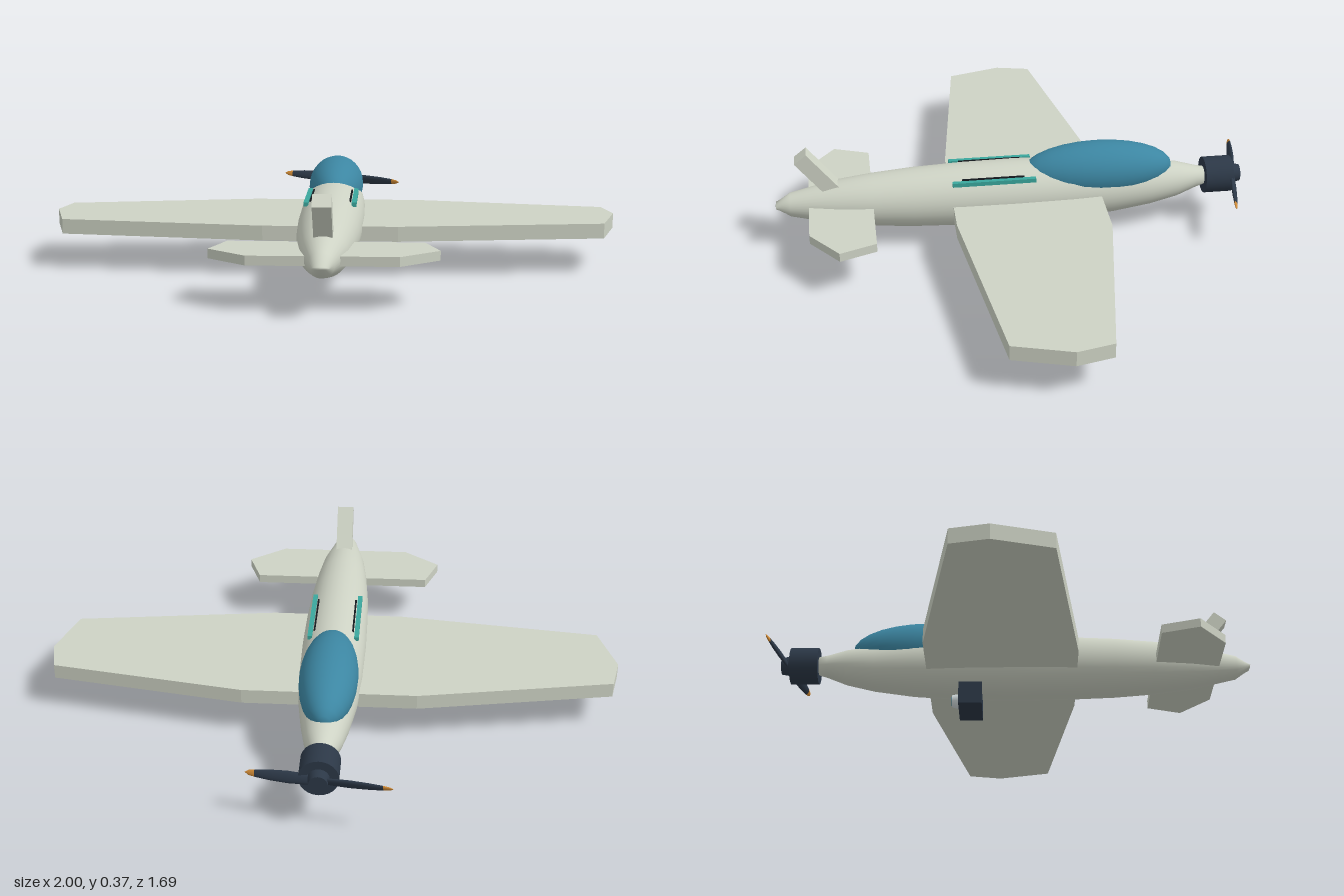
import * as THREE from 'three';

const paint = (name, color) => {
  const m = new THREE.MeshStandardMaterial({ color });
  m.name = name;
  return m;
};
const V = (pts) => pts.map(([x, y]) => new THREE.Vector2(x, y));

export function createModel() {
  const model = new THREE.Group();
  model.name = 'propellerPlane';
  const body = paint('paleGreyGreen', 0xcdd2c4);
  const dark = paint('darkSlate', 0x2c3847);
  const glass = paint('canopyBlue', 0x3c86a2);
  const teal = paint('teal', 0x3aa79d);
  const orange = paint('orange', 0xd08a35);
  const black = paint('black', 0x15191e);
  const pale = paint('lensRing', 0xd5dee0);

  const add = (name, geo, mat, x = 0, y = 0, z = 0, parent = model) => {
    const mesh = new THREE.Mesh(geo, mat);
    mesh.name = name;
    mesh.position.set(x, y, z);
    parent.add(mesh);
    return mesh;
  };

  // Fuselage: turned along z, nose at -z, tail tip pinched to a flat edge
  const hull = new THREE.LatheGeometry(V([
    [0, -0.7], [0.03, -0.7], [0.04, -0.66], [0.063, -0.59], [0.081, -0.49], [0.1, -0.35],
    [0.11, -0.2], [0.114, 0], [0.112, 0.18], [0.105, 0.36], [0.094, 0.5], [0.078, 0.63],
    [0.042, 0.79], [0.027, 0.84], [0, 0.842],
  ]), 32);
  hull.rotateX(Math.PI / 2);
  const p = hull.attributes.position;
  for (let i = 0; i < p.count; i++) {
    const z = p.getZ(i);
    if (z > 0.83) p.setY(i, p.getY(i) * 0.15);
    if (z < -0.5) p.setY(i, p.getY(i) + (-0.5 - z) * 0.06);
  }
  add('fuselage', hull, body, 0, 0.166, 0);

  // Canopy
  const canopy = new THREE.SphereGeometry(1, 32, 14);
  canopy.rotateX(Math.PI / 2);
  canopy.scale(0.1, 0.1, 0.27);
  add('canopy', canopy, glass, 0, 0.235, -0.3);

  // Wing and tailplane: mirrored outlines given as x, z pairs
  const slab = (name, half, top, thick) => {
    const outline = [...half, ...half.map(([x, z]) => [-x, z]).reverse()];
    const geo = new THREE.ExtrudeGeometry(new THREE.Shape(V(outline)), { depth: thick, bevelEnabled: false });
    geo.rotateX(Math.PI / 2);
    add(name, geo, body, 0, top, 0);
  };
  slab('wing', [[0.3, -0.302], [0.972, -0.185], [1, -0.06], [0.943, 0.136], [0.232, 0.225]], 0.175, 0.052);
  slab('tailplane', [[0.32, 0.502], [0.367, 0.628], [0.24, 0.726]], 0.179, 0.031);

  // Swept tail fin
  const fin = add('tailFin', new THREE.BoxGeometry(0.06, 0.2, 0.054), body, 0, 0.278, 0.682);
  fin.rotation.x = 0.67;

  // Propeller hub and nose boss
  const disc = (r1, r2, len) => new THREE.CylinderGeometry(r1, r2, len, 24).rotateX(Math.PI / 2);
  add('propellerHub', disc(0.065, 0.065, 0.1), dark, 0, 0.178, -0.74);
  add('propellerBoss', disc(0.036, 0.03, 0.036), dark, 0, 0.178, -0.805);

  // Two flat blades with coloured tips
  const propeller = new THREE.Group();
  propeller.name = 'propeller';
  propeller.position.set(0, 0.178, -0.8);
  propeller.rotation.set(0, -0.19, -0.045);
  model.add(propeller);
  const bladePart = (pts) => new THREE.LatheGeometry(V(pts), 16)
    .scale(1, 1, 0.4).rotateZ(-Math.PI / 2).rotateX(0.4);
  const bladeGeo = bladePart([[0.014, 0], [0.018, 0.05], [0.02, 0.1], [0.017, 0.16], [0.012, 0.208]]);
  const tipGeo = bladePart([[0.012, 0.208], [0.008, 0.228], [0, 0.24]]);
  for (const side of [0, 1]) {
    const blade = new THREE.Group();
    blade.name = 'blade';
    blade.rotation.z = side * Math.PI;
    propeller.add(blade);
    add('bladeBody', bladeGeo, dark, 0, 0, 0, blade);
    add('bladeTip', tipGeo, orange, 0, 0, 0, blade);
  }

  // Belly camera box with a forward-looking lens
  add('bellyBox', new THREE.BoxGeometry(0.16, 0.08, 0.082), dark, 0, 0.04, -0.149);
  add('lensRing', disc(0.028, 0.022, 0.024), pale, 0, 0.04, -0.202);
  add('lensGlass', disc(0.016, 0.016, 0.008), glass, 0, 0.04, -0.213);

  // Side rails and dark slots along the upper body
  for (const s of [-1, 1]) {
    add('rail', new THREE.BoxGeometry(0.016, 0.015, 0.293), teal, s * 0.082, 0.25, 0.078);
    add('slot', new THREE.BoxGeometry(0.006, 0.012, 0.22), black, s * 0.068, 0.254, 0.08);
  }
  return model;
}
